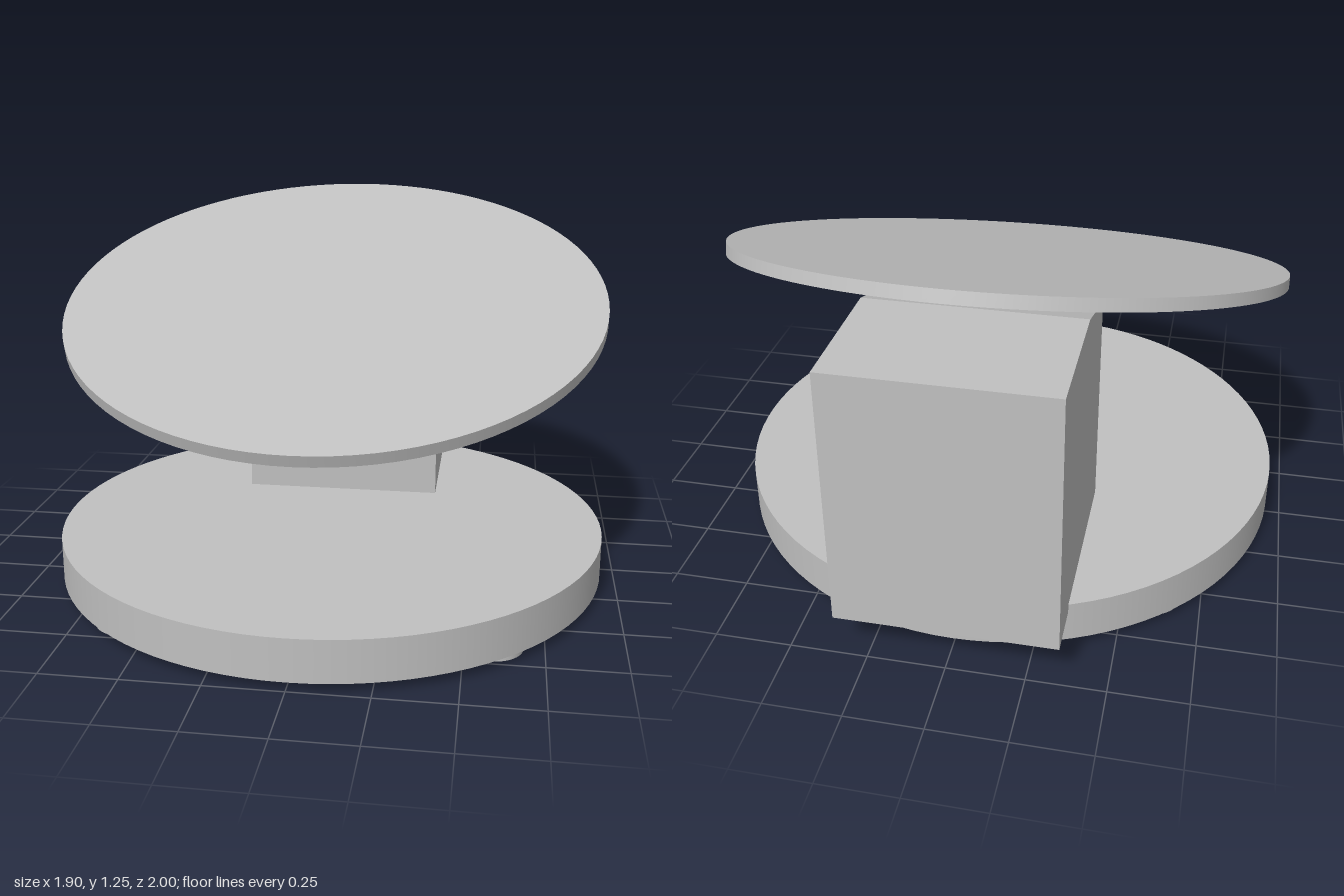
import * as THREE from 'three';

export function createModel() {
  const group = new THREE.Group();
  const grey = new THREE.MeshStandardMaterial({ color: 0xc0c0c0 });
  grey.name = 'plain grey';

  const add = (name, geometry, x, y, z) => {
    const mesh = new THREE.Mesh(geometry, grey);
    mesh.name = name;
    mesh.position.set(x, y, z);
    group.add(mesh);
    return mesh;
  };
  const disc = (radius, height, sides = 96) =>
    new THREE.CylinderGeometry(radius, radius, height, sides);

  // Round base, set slightly forward
  const baseZ = 0.05;
  add('base', disc(0.95, 0.14), 0, 0.1, baseZ);

  // Four feet under the base
  for (const sx of [-1, 1]) {
    for (const sz of [-1, 1]) {
      add('foot', disc(0.1, 0.03, 48), sx * 0.585, 0.015, baseZ + sz * 0.585);
    }
  }

  // Rear block: side profile (-z, y) with a sloping front top, extruded across x
  const width = 0.706;
  const profile = new THREE.Shape([
    [0.235, 0.14], [1, 0.14], [1, 1.015], [0.545, 1.015], [0.235, 0.915],
  ].map(([z, y]) => new THREE.Vector2(z, y)));
  const block = new THREE.ExtrudeGeometry(profile, { depth: width, bevelEnabled: false });
  block.translate(0, 0, -width / 2);
  block.rotateY(Math.PI / 2);
  add('rearBlock', block, 0, 0, 0);

  // Thin round plate, tilted down toward the front
  const plate = add('tiltedPlate', disc(0.935, 0.04), 0, 0.947, -0.019);
  plate.rotation.x = THREE.MathUtils.degToRad(18);

  return group;
}
